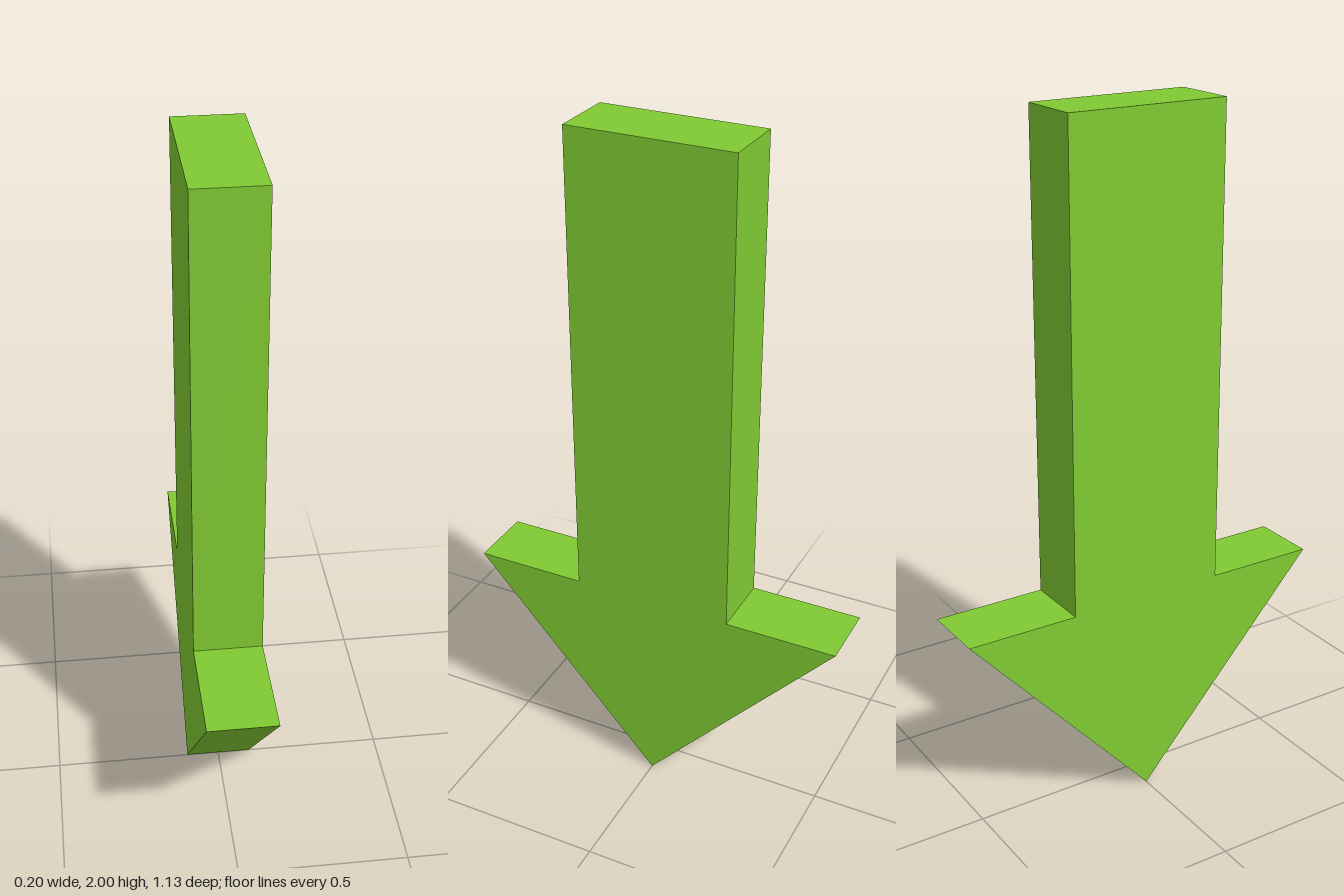
import * as THREE from 'three';

export function createModel() {
  const group = new THREE.Group();
  group.name = 'downArrow';

  const thickness = 0.196;
  const shaftHalf = 0.237;
  const headHalf = 0.565;
  const headTop = 0.625;

  // Half outline from the tip to the top of the shaft, mirrored for the other side
  const half = [[headHalf, headTop], [shaftHalf, headTop], [shaftHalf, 2]];
  const mirrored = half.map(([x, y]) => [-x, y]).reverse();
  const outline = [[0, 0], ...half, ...mirrored].map(([x, y]) => new THREE.Vector2(x, y));

  // Flat arrow slab, turned so its broad faces look along x
  const geometry = new THREE.ExtrudeGeometry(new THREE.Shape(outline), {
    depth: thickness,
    bevelEnabled: false,
  });
  geometry.translate(0, 0, -thickness / 2);
  geometry.rotateY(Math.PI / 2);

  const arrow = new THREE.Mesh(
    geometry,
    new THREE.MeshStandardMaterial({ color: 0x80ca32 })
  );
  arrow.name = 'arrow';
  group.add(arrow);
  return group;
}
